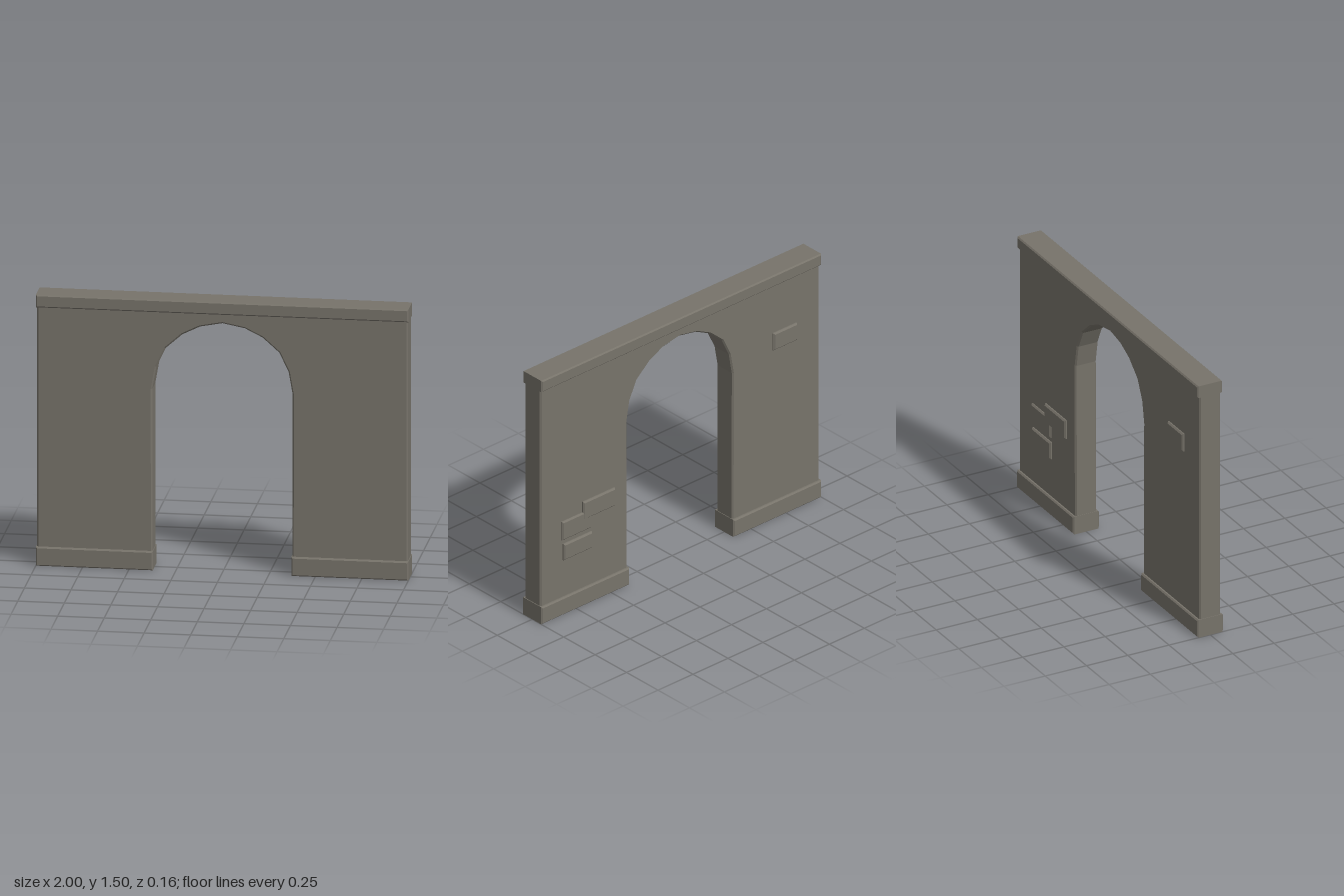
import * as THREE from 'three';

const material = new THREE.MeshStandardMaterial({ color: 0x77736a, flatShading: true });

// Extrudes an outline between two depths, with chamfered front and back edges
function chamferedSlab(name, points, zBack, zFront, chamfer) {
  const shape = new THREE.Shape(points.map(([x, y]) => new THREE.Vector2(x, y)));
  const geometry = new THREE.ExtrudeGeometry(shape, {
    depth: zFront - zBack - 2 * chamfer,
    bevelEnabled: true,
    bevelThickness: chamfer,
    bevelSize: chamfer,
    bevelOffset: -chamfer,
    bevelSegments: 1,
  });
  geometry.translate(0, 0, zBack + chamfer);
  const mesh = new THREE.Mesh(geometry, material);
  mesh.name = name;
  return mesh;
}

const rect = (x0, x1, y0, y1) => [[x0, y0], [x1, y0], [x1, y1], [x0, y1]];

export function createModel() {
  const group = new THREE.Group();
  group.name = 'archedWall';

  // Wall with a faceted arched doorway
  const halfArch = [[0.375, 0.04], [0.377, 1.0], [0.355, 1.125], [0.305, 1.23], [0.215, 1.31], [0.12, 1.357]];
  const mirrored = halfArch.map(([x, y]) => [-x, y]);
  const outline = [
    [0.996, 0.04], [0.996, 1.47], [-0.996, 1.47], [-0.996, 0.04],
    ...mirrored, [0, 1.38], ...halfArch.slice().reverse(),
  ];
  group.add(chamferedSlab('wall', outline, -0.063, 0.065, 0.008));

  // Coping along the top
  group.add(chamferedSlab('coping', rect(-1, 1, 1.43, 1.5), -0.077, 0.076, 0.007));

  // Plinth under each pier
  for (const [name, x0, x1] of [['leftPlinth', 0.372, 1], ['rightPlinth', -1, -0.372]]) {
    group.add(chamferedSlab(name, rect(x0, x1, 0, 0.105), -0.078, 0.08, 0.007));
  }

  // Exposed bricks standing proud of the back face
  const bricks = [
    [0.47, 0.70, 0.525, 0.635],
    [0.64, 0.85, 0.455, 0.57],
    [0.635, 0.84, 0.33, 0.43],
    [-0.83, -0.66, 1.035, 1.14],
  ];
  bricks.forEach((b, i) => {
    group.add(chamferedSlab(`brick${i + 1}`, rect(...b), i === 1 ? -0.075 : -0.077, -0.04, 0.008));
  });

  return group;
}
